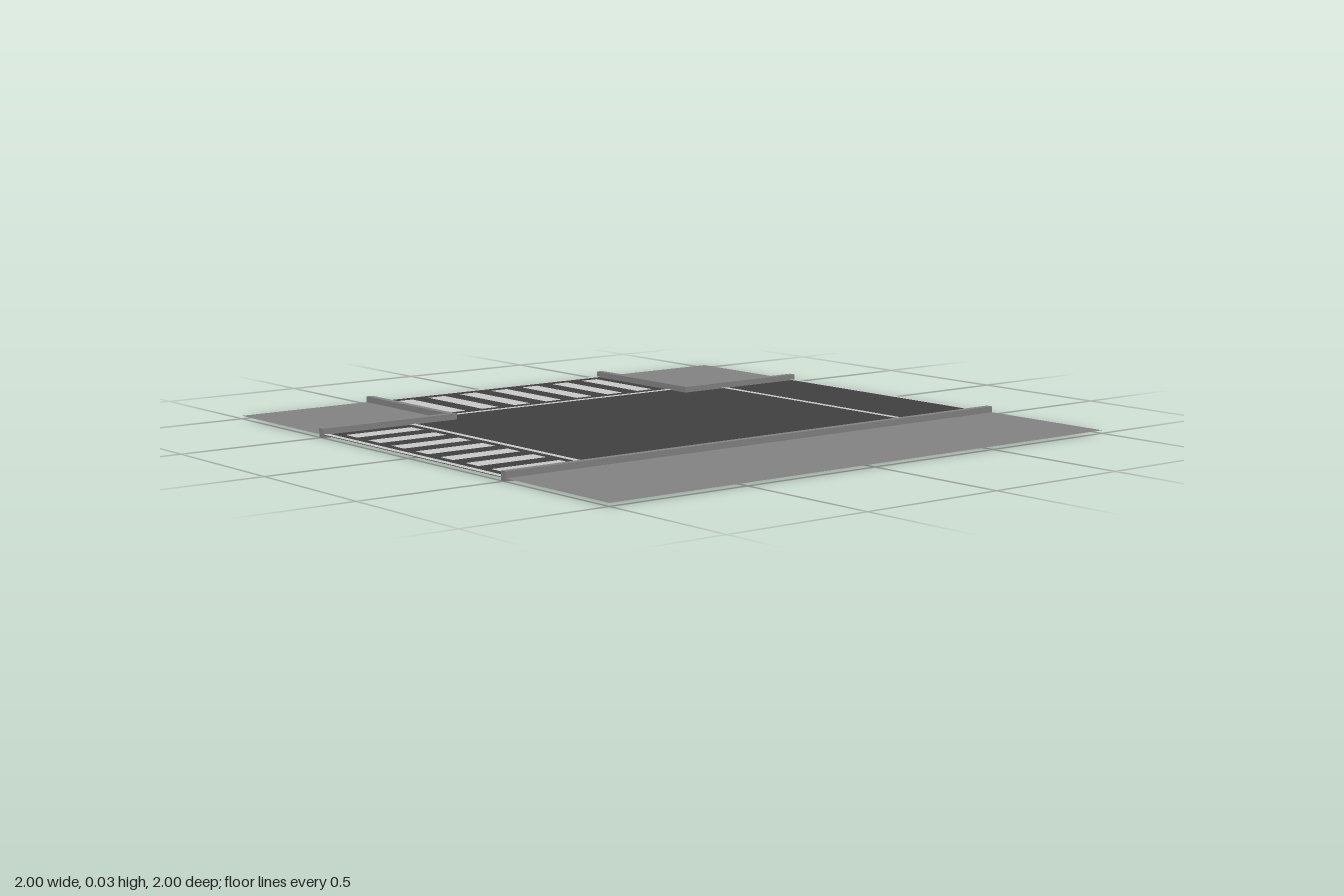
import * as THREE from 'three';

const ground = 0.01;      // level of road and pavement sheets
const paint = 0.012;      // level of road markings
const kerbTop = 0.03;
const inner = 0.487;      // road-side face of the kerbs
const outer = 0.511;      // pavement-side face of the kerbs

// Outline given as [x, z] points, seen from above
function outline(points) {
  return new THREE.Shape(points.map(([x, z]) => new THREE.Vector2(x, -z)));
}

export function createModel() {
  const model = new THREE.Group();
  const asphalt = new THREE.MeshStandardMaterial({ name: 'asphalt', color: 0x404040, side: THREE.DoubleSide });
  const concrete = new THREE.MeshStandardMaterial({ name: 'concrete', color: 0x828282, side: THREE.DoubleSide });
  const white = new THREE.MeshStandardMaterial({ name: 'road paint', color: 0xc9c9c9, side: THREE.DoubleSide });

  function add(name, geometry, material, y, parent = model) {
    const mesh = new THREE.Mesh(geometry.rotateX(-Math.PI / 2), material);
    mesh.name = name;
    mesh.position.y = y;
    parent.add(mesh);
    return mesh;
  }
  const sheet = (name, points, material) =>
    add(name, new THREE.ShapeGeometry(outline(points)), material, ground);
  const kerb = (name, points) =>
    add(name, new THREE.ExtrudeGeometry(outline(points), { depth: kerbTop, bevelEnabled: false }), concrete, 0);

  // T-shaped road with its side arm towards -x
  sheet('road', [
    [-inner, -1], [inner, -1], [inner, 1], [-inner, 1],
    [-inner, inner], [-1, inner], [-1, -inner], [-inner, -inner],
  ], asphalt);

  // Long pavement and kerb
  sheet('longPavement', [[outer, -1], [1, -1], [1, 1], [outer, 1]], concrete);
  kerb('longKerb', [[inner, -1], [outer, -1], [outer, 1], [inner, 1]]);

  // Two corner pavements with L-shaped kerbs
  for (const [side, s] of [['front', 1], ['back', -1]]) {
    sheet(side + 'CornerPavement', [[-1, s * outer], [-outer, s * outer], [-outer, s], [-1, s]], concrete);
    kerb(side + 'CornerKerb', [
      [-1, s * inner], [-inner, s * inner], [-inner, s],
      [-outer, s], [-outer, s * outer], [-1, s * outer],
    ]);
  }

  // Painted lines and crossing bars
  const markings = new THREE.Group();
  markings.name = 'roadMarkings';
  model.add(markings);
  function stripe(name, x0, x1, z0, z1) {
    const mesh = add(name, new THREE.PlaneGeometry(x1 - x0, z1 - z0), white, paint, markings);
    mesh.position.x = (x0 + x1) / 2;
    mesh.position.z = (z0 + z1) / 2;
  }
  stripe('backEdgeLine', -inner, inner, -1, -0.98);
  stripe('backStopLine', -inner, inner, -0.677, -0.655);
  stripe('frontStopLine', -inner, inner, 0.65, 0.672);
  stripe('frontEdgeLine', -inner, inner, 0.978, 1);
  stripe('sideEdgeLine', -1, -0.978, -inner, inner);
  stripe('sideStopLine', -0.585, -0.563, -inner, inner);
  for (let i = -3; i <= 3; i++) {
    const c = i * 0.1335, h = 0.034;
    stripe('frontCrossingBar', c - h, c + h, 0.7, 0.95);
    stripe('sideCrossingBar', -0.942, -0.615, c - h - 0.005, c + h - 0.005);
  }
  return model;
}
